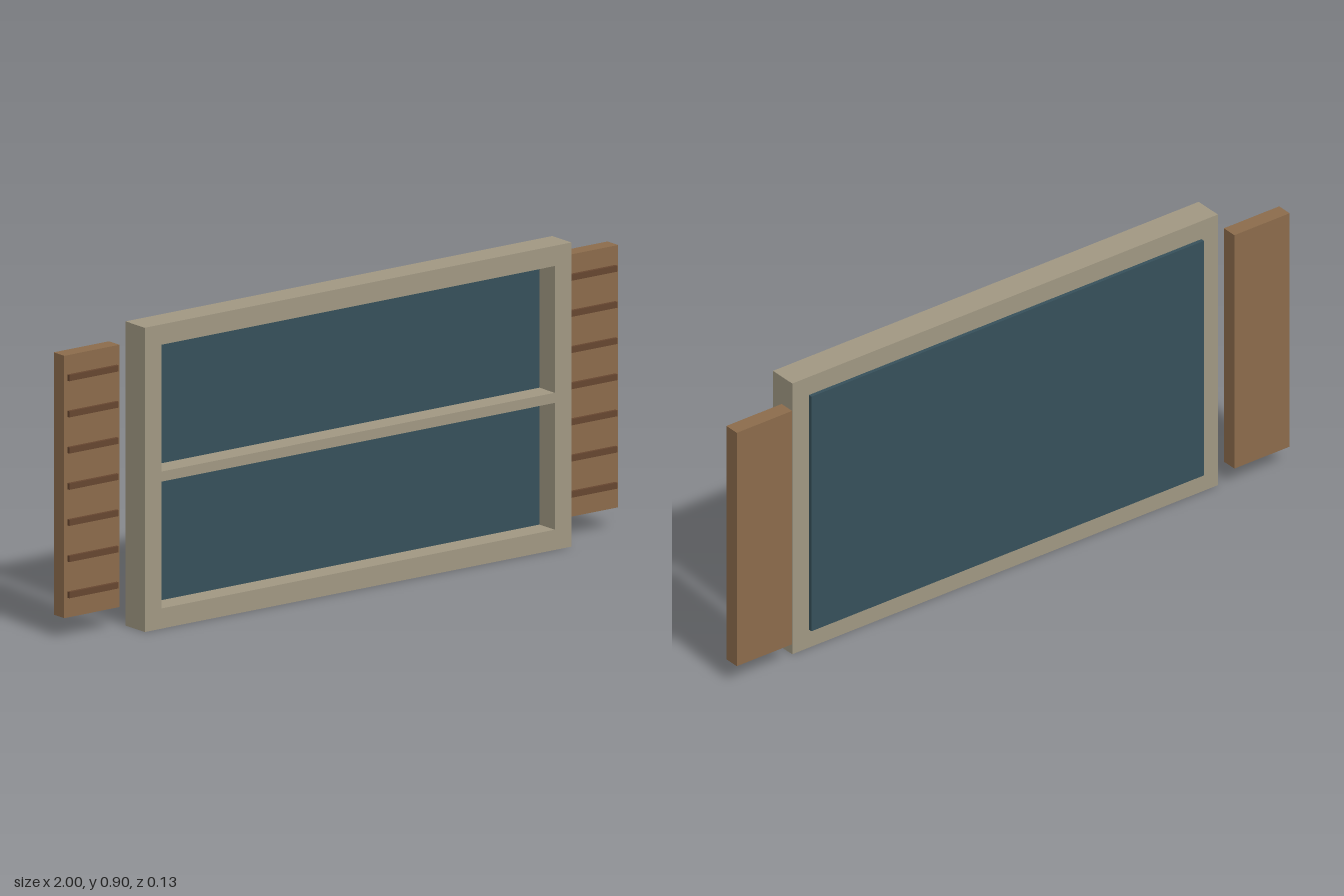
import * as THREE from 'three';

const material = (color) => new THREE.MeshStandardMaterial({ color });

export function createModel() {
  const model = new THREE.Group();
  model.name = 'shutteredWindow';
  const stone = material(0xa09782);
  const glass = material(0x36505a);
  const wood = material(0x8b6b4b);
  const darkWood = material(0x664630);

  // Box given by its min and max corners
  const box = (name, mat, [x0, y0, z0], [x1, y1, z1], parent = model) => {
    const mesh = new THREE.Mesh(new THREE.BoxGeometry(x1 - x0, y1 - y0, z1 - z0), mat);
    mesh.position.set((x0 + x1) / 2, (y0 + y1) / 2, (z0 + z1) / 2);
    mesh.name = name;
    parent.add(mesh);
  };

  // Frame: rectangle with an opening, extruded front to back
  const outline = new THREE.Shape([[-0.77, 0], [0.77, 0], [0.77, 0.9], [-0.77, 0.9]]
    .map(([x, y]) => new THREE.Vector2(x, y)));
  outline.holes.push(new THREE.Path([[-0.71, 0.06], [-0.71, 0.84], [0.71, 0.84], [0.71, 0.06]]
    .map(([x, y]) => new THREE.Vector2(x, y))));
  const frame = new THREE.Mesh(
    new THREE.ExtrudeGeometry(outline, { depth: 0.09, bevelEnabled: false }), stone);
  frame.position.z = -0.025;
  frame.name = 'frame';
  model.add(frame);

  // Pane stands slightly proud at the back; crossbar divides the opening
  box('pane', glass, [-0.71, 0.06, -0.037], [0.71, 0.84, -0.007]);
  box('crossbar', stone, [-0.71, 0.435, -0.007], [0.71, 0.465, 0.065]);

  // Shutters with seven slats each
  for (const side of [-1, 1]) {
    const shutter = new THREE.Group();
    shutter.name = side > 0 ? 'leftShutter' : 'rightShutter';
    shutter.position.x = side * 0.9;
    model.add(shutter);
    box('shutterPanel', wood, [-0.1, 0.062, -0.063], [0.1, 0.838, -0.014], shutter);
    for (let i = 0; i < 7; i++) {
      const y = 0.13 + i * 0.107;
      box('slat', darkWood, [-0.089, y - 0.009, -0.02], [0.089, y + 0.009, -0.004], shutter);
    }
  }
  return model;
}
